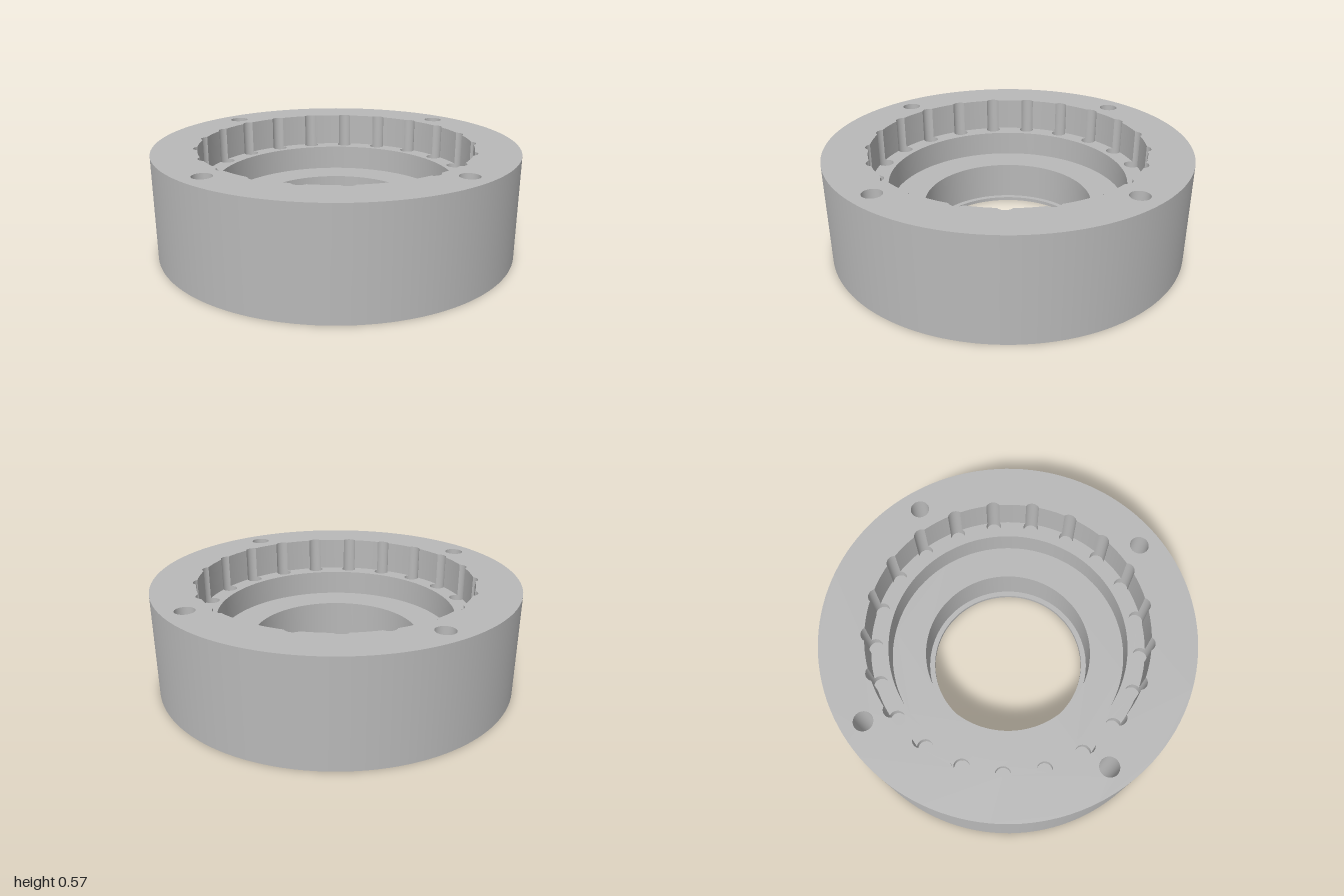
import * as THREE from 'three';
import { mergeGeometries } from 'three/addons/utils/BufferGeometryUtils.js';

const TAU = Math.PI * 2, SEG = 128;
const TOP = 0.57, LEDGE = 0.38, FLOOR = 0.235, LIP = 0.02, SLOT_FLOOR = 0.33;
const R_OUT = 1, R_RIM = 0.758, R_POCKET = 0.663, R_BORE = 0.472, R_LIP = 0.442;

// Slots: round grooves cut into the rim wall
const SLOTS = 21, SLOT_C = 0.735, SLOT_R = 0.043;
const beta = Math.acos((R_RIM ** 2 + SLOT_C ** 2 - SLOT_R ** 2) / (2 * R_RIM * SLOT_C));
const gamma = Math.atan2(R_RIM * Math.sin(beta), R_RIM * Math.cos(beta) - SLOT_C);
const slotAngles = Array.from({ length: SLOTS }, (_, k) => k * TAU / SLOTS);
const gap = TAU / SLOTS - 2 * beta;

// Bolt holes
const BOLT = 0.624, BOLT_R = 0.052;
const bolts = [[1, 1], [-1, 1], [-1, -1], [1, -1]].map(([x, y]) => [x * BOLT, y * BOLT]);

// Points along an arc, without the last one
function arc(cx, cy, r, a0, a1, n) {
  return Array.from({ length: n }, (_, i) => {
    const a = a0 + (a1 - a0) * i / n;
    return new THREE.Vector2(cx + r * Math.cos(a), cy + r * Math.sin(a));
  });
}
const circle = (r, x = 0, y = 0, n = SEG) => arc(x, y, r, 0, TAU, n);
const boltCircles = () => bolts.map(([x, y]) => circle(BOLT_R, x, y, 32));

// Scalloped rim outline; slot arcs bulge outward, or inward for the ledge
function rimOutline(inward) {
  const end = inward ? gamma - TAU : gamma;
  return slotAngles.flatMap(a => [
    ...arc(SLOT_C * Math.cos(a), SLOT_C * Math.sin(a), SLOT_R, a - gamma, a + end, inward ? 16 : 10),
    ...arc(0, 0, R_RIM, a + beta, a + beta + gap, 6),
  ]);
}

// Flat horizontal face with holes
function face(outline, holes, y, down = false) {
  const shape = new THREE.Shape(outline);
  shape.holes = holes.map(h => new THREE.Path(h));
  return new THREE.ShapeGeometry(shape).rotateX(down ? Math.PI / 2 : -Math.PI / 2).translate(0, y, 0);
}

// Upright cylindrical wall, facing the axis when inward is true
function wall(r, y0, y1, inward = true, x = 0, y = 0, a0 = 0, len = TAU, n = SEG) {
  const g = new THREE.CylinderGeometry(r, r, y1 - y0, n, 1, true, a0 + Math.PI / 2, len);
  if (inward) {
    g.index.array.reverse();
    const nor = g.attributes.normal.array;
    for (let i = 0; i < nor.length; i++) nor[i] = -nor[i];
  }
  return g.translate(x, (y0 + y1) / 2, -y);
}

export function createModel() {
  const model = new THREE.Group();
  model.name = 'slottedRingHousing';
  const grey = new THREE.MeshStandardMaterial({ color: 0xb8b8b8 });
  grey.name = 'plain grey';
  const add = (name, ...geometries) => {
    const mesh = new THREE.Mesh(mergeGeometries(geometries), grey);
    mesh.name = name;
    model.add(mesh);
  };

  // Outer body
  add('outerWall', wall(R_OUT, 0, TOP, false));
  add('topFace', face(circle(R_OUT), [rimOutline(false), ...boltCircles()], TOP));
  add('bottomFace', face(circle(R_OUT), [circle(R_LIP), ...boltCircles()], 0, true));
  add('boltHoles', ...bolts.map(([x, y]) => wall(BOLT_R, 0, TOP, true, x, y, 0, TAU, 32)));

  // Rim wall between the slots, and the slots themselves
  add('rimWall', ...slotAngles.map(a => wall(R_RIM, LEDGE, TOP, true, 0, 0, a + beta, gap, 6)));
  add('rimSlots', ...slotAngles.flatMap(a => {
    const x = SLOT_C * Math.cos(a), y = SLOT_C * Math.sin(a);
    return [
      wall(SLOT_R, SLOT_FLOOR, TOP, true, x, y, a - gamma, 2 * gamma, 10),
      wall(SLOT_R, SLOT_FLOOR, LEDGE, true, x, y, a + gamma, TAU - 2 * gamma, 16),
      face(circle(SLOT_R, x, y, 26), [], SLOT_FLOOR),
    ];
  }));

  // Stepped interior
  add('ledge', face(rimOutline(true), [circle(R_POCKET)], LEDGE));
  add('pocketWall', wall(R_POCKET, FLOOR, LEDGE));
  add('pocketFloor', face(circle(R_POCKET), [circle(R_BORE)], FLOOR));
  add('boreWall', wall(R_BORE, LIP, FLOOR));
  add('boreLip', face(circle(R_BORE), [circle(R_LIP)], LIP), wall(R_LIP, 0, LIP));
  return model;
}
